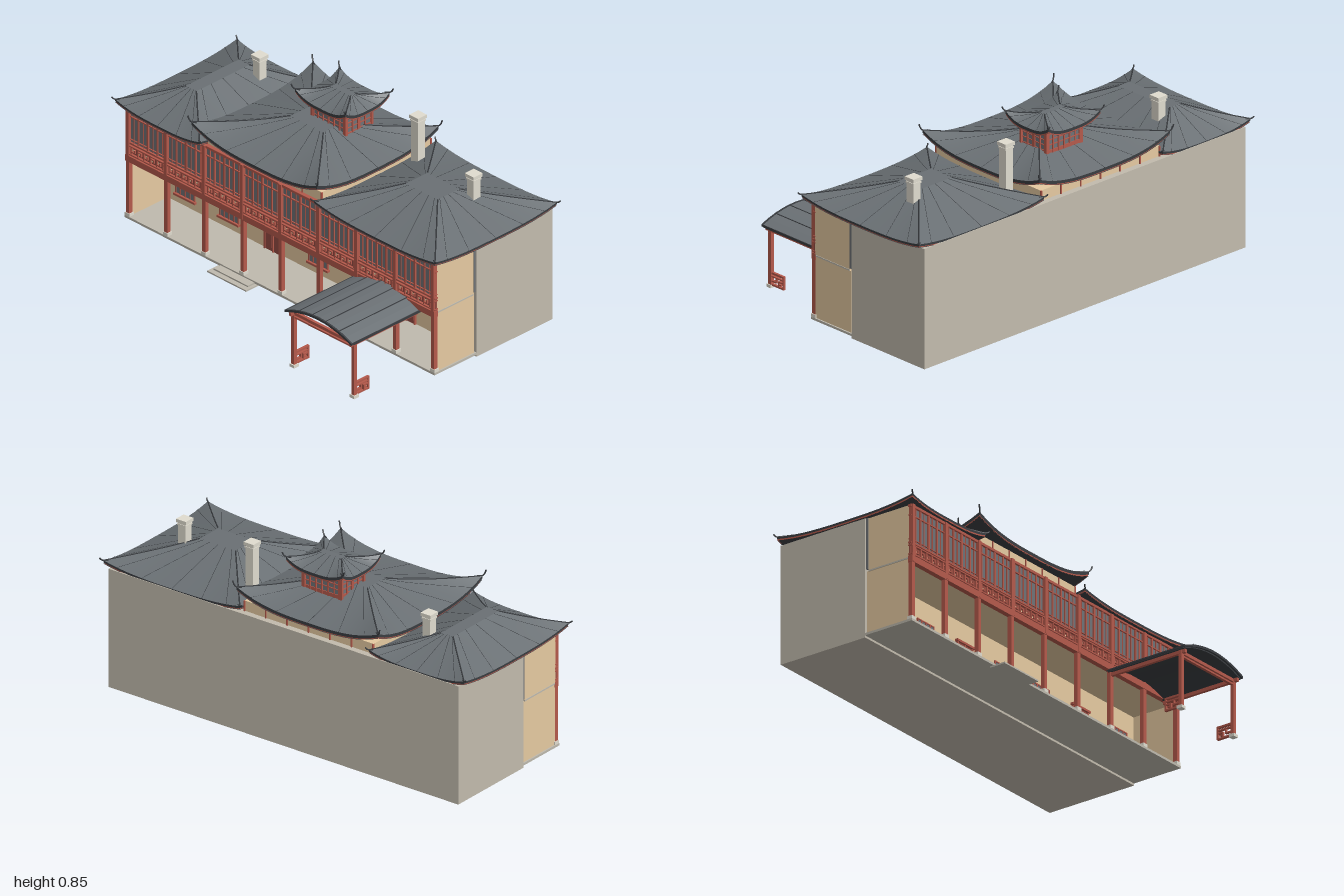
import * as THREE from 'three';
import { mergeGeometries } from 'three/addons/utils/BufferGeometryUtils.js';

const mat = (name, color, side = THREE.FrontSide) => {
  const m = new THREE.MeshStandardMaterial({ color, side });
  m.name = name;
  return m;
};
const M = {
  slate: mat('slate', 0x6a7074, THREE.DoubleSide),
  dark: mat('dark ridge', 0x3a3d41, THREE.DoubleSide),
  red: mat('red timber', 0xb4594b, THREE.DoubleSide),
  darkRed: mat('dark red timber', 0x944b42, THREE.DoubleSide),
  tan: mat('tan plaster', 0xe6caa1),
  grey: mat('grey wall', 0xc2bbad),
  stone: mat('pale stone', 0xe0dccf),
  floor: mat('paving', 0xbfbaae),
  glass: mat('window glass', 0x6e7277),
};

export function createModel() {
  const root = new THREE.Group();
  const add = (name, geo, m, parent = root) => {
    const mesh = new THREE.Mesh(geo, m);
    mesh.name = name;
    parent.add(mesh);
    return mesh;
  };
  // One mesh from boxes given as [x0, x1, y0, y1, z0, z1]
  const boxes = (name, m, list, parent) => add(name, mergeGeometries(list.map(([a, b, c, d, e, f]) =>
    new THREE.BoxGeometry(b - a, d - c, f - e).translate((a + b) / 2, (c + d) / 2, (e + f) / 2))), m, parent);
  // Box given by centre x, half width, then y and z ranges
  const bar = (x, h, y0, y1, z0, z1) => [x - h, x + h, y0, y1, z0, z1];

  // Sheet of quads over a grid of points p(u, v)
  const sheet = (p, nu, nv) => {
    const pos = [], idx = [];
    for (let j = 0; j <= nv; j++) for (let i = 0; i <= nu; i++) pos.push(...p(i / nu, j / nv).toArray());
    for (let j = 0; j < nv; j++) for (let i = 0; i < nu; i++) {
      const a = j * (nu + 1) + i, b = a + nu + 1;
      idx.push(a, a + 1, b + 1, a, b + 1, b);
    }
    const g = new THREE.BufferGeometry();
    g.setAttribute('position', new THREE.Float32BufferAttribute(pos, 3));
    g.setIndex(idx);
    g.computeVertexNormals();
    return g;
  };

  // Hipped roof with upswept corners, ribs, fascia, trim, soffit and horns
  const roof = (name, { eave, ridge, yE, yR, lift, horn, thick = 0.01 }) => {
    const g = new THREE.Group();
    g.name = name;
    root.add(g);
    const corners = ([x0, x1, z0, z1], y) =>
      [[x0, z1], [x1, z1], [x1, z0], [x0, z0]].map(([x, z]) => new THREE.Vector3(x, y, z));
    const E = corners(eave, yE), R = corners(ridge, yR);
    const surf = [], soffit = [], fascia = [], trim = [], ribs = [];
    for (let k = 0; k < 4; k++) {
      const n = (k + 1) % 4;
      const p = (t, s, drop = 0) => {
        const v = E[k].clone().lerp(E[n], t).lerp(R[k].clone().lerp(R[n], t), s);
        v.y += lift * Math.abs(2 * t - 1) ** 3 * (1 - s) ** 1.6 - drop;
        return v;
      };
      surf.push(sheet((t, s) => p(t, s), 16, 6));
      soffit.push(sheet((t, s) => p(1 - t, s, thick + 0.006), 16, 6));
      fascia.push(sheet((t, s) => p(t, 0, thick * (1 - s)), 16, 1));
      trim.push(sheet((t, s) => p(t, 0.01, thick + 0.007 * (1 - s)), 16, 1));
      for (const t of [0, 0.1, 0.28, 0.5, 0.72, 0.9]) {
        const pts = [0, 0.25, 0.5, 0.75, 1].map(s => p(t, s));
        ribs.push(new THREE.TubeGeometry(new THREE.CatmullRomCurve3(pts), 8, t ? 0.0011 : 0.003, 4));
      }
      // upturned corner horn
      const c = p(0, 0), dx = k === 0 || k === 3 ? -1 : 1, dz = k < 2 ? 1 : -1;
      const pts = [[-0.02, -0.002], [0, 0], [0.009, horn * 0.4], [0.014, horn]].map(([d, y]) =>
        new THREE.Vector3(c.x + dx * d, c.y + y, c.z + dz * d * 0.6));
      ribs.push(new THREE.TubeGeometry(new THREE.CatmullRomCurve3(pts), 8, 0.0035, 5));
    }
    surf.push(sheet((u, v) => R[0].clone().lerp(R[1], u).lerp(R[3].clone().lerp(R[2], u), v), 1, 1));
    add('roofTiles', mergeGeometries(surf), M.slate, g);
    add('soffit', mergeGeometries(soffit), M.dark, g);
    add('fascia', mergeGeometries(fascia), M.dark, g);
    add('eaveTrim', mergeGeometries(trim), M.red, g);
    add('roofRibs', mergeGeometries(ribs), M.dark, g);
  };

  // Main masses
  boxes('rearBlock', M.grey, [[-0.955, 0.955, 0, 0.568, -0.56, -0.1]]);
  boxes('verandaFloor', M.floor, [[-0.955, 0.955, 0.01, 0.021, -0.1, 0.155],
    [-0.38, -0.14, 0, 0.007, 0.14, 0.22], [-0.365, -0.155, 0.007, 0.014, 0.14, 0.195]]);
  boxes('frontWalls', M.tan, [[-0.94, 0.94, 0.02, 0.32, -0.1, -0.085],
    [-0.95, 0.95, 0.312, 0.566, -0.085, 0.134],
    ...[-1, 1].map(s => bar(s * 0.94, 0.008, 0.02, 0.312, -0.09, 0.14))]);
  boxes('clerestoryWall', M.tan, [[-0.47, 0.235, 0.56, 0.617, -0.53, 0.13]]);
  boxes('sideSeams', M.floor, [-1, 1].map(s => bar(s * 0.947, 0.005, 0.312, 0.319, -0.085, 0.13)));
  boxes('downpipes', M.glass, [-1, 1].map(s => bar(s * 0.947, 0.005, 0.325, 0.568, -0.097, -0.086)));

  // Ground floor windows and doors
  const glass = [], frame = [], door = [];
  for (const x of [-0.82, -0.55, 0, 0.27, 0.82]) {
    glass.push(bar(x, 0.058, 0.07, 0.215, -0.09, -0.081));
    frame.push(bar(x, 0.066, 0.06, 0.07, -0.09, -0.07));
    for (const d of [-0.057, -0.03, 0, 0.03, 0.057]) frame.push(bar(x + d, 0.0028, 0.07, 0.217, -0.09, -0.078));
    for (const y of [0.106, 0.142, 0.178, 0.214]) frame.push(bar(x, 0.058, y - 0.0026, y + 0.0026, -0.09, -0.078));
  }
  for (const x of [-0.275, 0.545]) {
    door.push(bar(x, 0.052, 0.02, 0.21, -0.09, -0.079));
    frame.push(bar(x, 0.062, 0.207, 0.217, -0.09, -0.069));
    for (const s of [-1, 0, 1]) frame.push(bar(x + s * 0.052, 0.0035, 0.02, 0.21, -0.09, -0.074));
    for (const s of [-0.026, 0.026]) {
      glass.push(bar(x + s, 0.011, 0.155, 0.19, -0.08, -0.077));
      door.push(bar(x + s, 0.018, 0.04, 0.13, -0.08, -0.076));
    }
  }
  boxes('groundWindowGlass', M.glass, glass);
  boxes('groundFrames', M.red, frame);
  boxes('doors', M.darkRed, door);

  // Veranda posts, beam and upper glazed gallery
  const posts = Array.from({ length: 9 }, (_, i) => -0.94 + i * 0.235);
  boxes('verandaPosts', M.red, posts.map(x => bar(x, 0.01, 0.02, 0.3, 0.132, 0.152)));
  boxes('postBases', M.stone, posts.map(x => bar(x, 0.014, 0.02, 0.036, 0.127, 0.155)));
  boxes('galleryPanel', M.darkRed, [[-0.95, 0.95, 0.3, 0.388, 0.134, 0.142]]);
  boxes('galleryGlass', M.glass, [[-0.945, 0.945, 0.388, 0.566, 0.134, 0.14]]);
  const gallery = [[0.295, 0.325, 0.155], [0.33, 0.336, 0.153], [0.372, 0.378, 0.153], [0.384, 0.392, 0.15],
    [0.404, 0.407, 0.146], [0.517, 0.522, 0.147], [0.558, 0.57, 0.15]].map(([a, b, z]) => [-0.952, 0.952, a, b, 0.13, z]);
  const openings = [];
  posts.forEach((x, i) => {
    gallery.push(bar(x, 0.009, 0.3, 0.57, 0.134, 0.156));
    if (i === 8) return;
    for (let k = 1; k < 4; k++) gallery.push(bar(x + k * 0.05875, k === 2 ? 0.005 : 0.0035, 0.388, 0.565, 0.134, 0.147));
    for (let k = 0; k < 4; k++) gallery.push(bar(x + (k + 0.5) * 0.05875, 0.0018, 0.388, 0.565, 0.134, 0.144));
    // meander fretwork in each bay, with pale openings between
    for (let k = 0; k < 6; k++) {
      const c = x + 0.02 + k * 0.039, up = k % 2 ? 0.013 : 0;
      gallery.push(bar(c, 0.003, 0.336, 0.372, 0.142, 0.15), bar(c + 0.011, 0.011, 0.345 + up, 0.35 + up, 0.142, 0.15),
        bar(c + 0.02, 0.003, 0.345, 0.362, 0.142, 0.15));
      openings.push(bar(c + 0.01, 0.006, 0.352 - up * 0.5, 0.359 - up * 0.5, 0.141, 0.144));
    }
  });
  boxes('galleryTimber', M.red, gallery);
  boxes('fretOpenings', M.tan, openings);
  const clere = [];
  for (let i = 0; i < 7; i++) for (const z of [-0.532, 0.13]) clere.push(bar(-0.468 + i * 0.117, 0.003, 0.565, 0.617, z - 0.004, z + 0.005));
  boxes('clerestoryPosts', M.red, clere);

  // Roofs
  roof('leftRoof', { eave: [-0.985, -0.465, -0.557, 0.182], ridge: [-0.765, -0.7, -0.35, -0.03], yE: 0.572, yR: 0.67, lift: 0.026, horn: 0.01 });
  roof('rightRoof', { eave: [0.24, 0.985, -0.557, 0.182], ridge: [0.5, 0.695, -0.25, -0.12], yE: 0.572, yR: 0.67, lift: 0.026, horn: 0.01 });
  roof('centreRoof', { eave: [-0.512, 0.262, -0.552, 0.185], ridge: [-0.22, -0.02, -0.25, -0.13], yE: 0.625, yR: 0.705, lift: 0.058, horn: 0.028, thick: 0.014 });
  roof('cupolaRoof', { eave: [-0.22, 0.09, -0.425, -0.155], ridge: [-0.12, 0, -0.305, -0.275], yE: 0.795, yR: 0.836, lift: 0.036, horn: 0.02, thick: 0.014 });

  // Cupola with latticed windows on all sides
  const cx = -0.06, cz = -0.283, hx = 0.1, hz = 0.078;
  boxes('cupolaGlass', M.glass, [[cx - hx, cx + hx, 0.64, 0.785, cz - hz, cz + hz]]);
  const lattice = [];
  for (const [a, b] of [[0.64, 0.692], [0.714, 0.718], [0.738, 0.742], [0.763, 0.785]])
    lattice.push([cx - hx - 0.004, cx + hx + 0.004, a, b, cz - hz - 0.004, cz + hz + 0.004]);
  for (const s of [-1, 1]) {
    for (let i = 0; i <= 6; i++) {
      const x = cx - hx + i * hx / 3, h = i % 6 ? 0.003 : 0.01;
      lattice.push(bar(x, h, 0.66, 0.785, cz + s * hz - 0.006, cz + s * hz + 0.006));
    }
    for (let i = 0; i <= 4; i++) {
      const z = cz - hz + i * hz / 2, h = i % 2 ? 0.003 : 0.008;
      lattice.push(bar(cx + s * hx, 0.006, 0.66, 0.785, z - h, z + h));
    }
  }
  boxes('cupolaTimber', M.red, lattice);

  // Chimneys
  for (const [x, z, top] of [[-0.635, -0.35, 0.75], [0.305, -0.385, 0.825], [0.755, -0.28, 0.762]])
    boxes('chimney', M.stone, [bar(x, 0.021, 0.57, top - 0.012, z - 0.021, z + 0.021),
      bar(x, 0.027, top - 0.016, top, z - 0.027, z + 0.027),
      bar(x, 0.024, top - 0.03, top - 0.022, z - 0.024, z + 0.024)]);

  // Porch with a low arched roof
  const porch = new THREE.Group();
  porch.name = 'porch';
  root.add(porch);
  const arch = (u, y = 0) => [0.45 + 0.41 * u, 0.289 + y + 0.045 * (1 - (2 * u - 1) ** 2)];
  const archSlab = (y, h, z0, z1) => {
    const s = new THREE.Shape(), N = 10;
    for (let i = 0; i <= N; i++) s[i ? 'lineTo' : 'moveTo'](...arch(i / N, y));
    for (let i = N; i >= 0; i--) s.lineTo(...arch(i / N, y + h));
    return new THREE.ExtrudeGeometry(s, { depth: z1 - z0, bevelEnabled: false }).translate(0, 0, z0);
  };
  add('porchRoof', archSlab(0, 0.006, 0.14, 0.56), M.slate, porch);
  add('porchRoofEdge', archSlab(-0.003, 0.011, 0.558, 0.567), M.dark, porch);
  add('porchSoffit', archSlab(-0.005, 0.004, 0.145, 0.553), M.dark, porch);
  boxes('porchRoofRibs', M.dark, Array.from({ length: 6 }, (_, i) => {
    const [x, y] = arch(i / 5);
    return bar(x, 0.002, y, y + 0.008, 0.14, 0.565);
  }), porch);
  const wood = [[0.46, 0.85, 0.255, 0.263, 0.522, 0.536], [0.46, 0.85, 0.27, 0.285, 0.522, 0.536]], bases = [];
  for (const x of [0.47, 0.84]) {
    wood.push(bar(x, 0.009, 0.02, 0.275, 0.52, 0.538), bar(x, 0.007, 0.27, 0.286, 0.15, 0.555));
    bases.push(bar(x, 0.014, 0.008, 0.022, 0.515, 0.543));
    // short fretwork railing
    for (const [y0, y1, z0, z1] of [[0.072, 0.081, 0.442, 0.52], [0.058, 0.064, 0.445, 0.52], [0.018, 0.026, 0.445, 0.52],
      [0.018, 0.08, 0.443, 0.45], [0.044, 0.051, 0.45, 0.475], [0.036, 0.043, 0.488, 0.52], [0.026, 0.05, 0.471, 0.477],
      [0.036, 0.06, 0.488, 0.494], [0.032, 0.038, 0.458, 0.473]]) wood.push(bar(x, 0.006, y0, y1, z0, z1));
  }
  boxes('porchTimber', M.red, wood, porch);
  boxes('porchPostBases', M.stone, bases, porch);

  return root;
}
